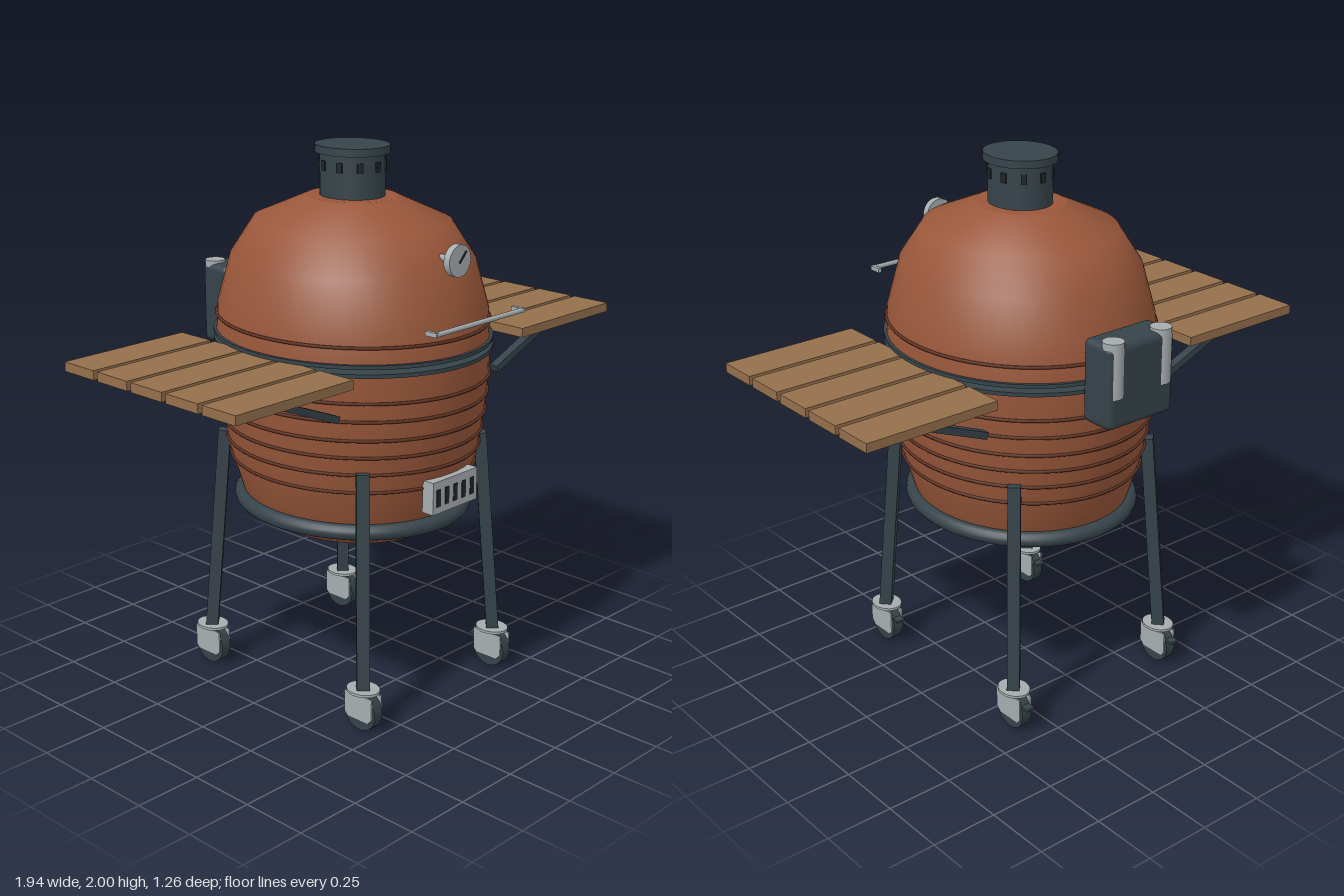
import * as THREE from 'three';
import { RoundedBoxGeometry } from 'three/addons/geometries/RoundedBoxGeometry.js';

const mat = (name, color) => Object.assign(new THREE.MeshStandardMaterial({ color }), { name });
const DEPTH = 1.11, ZC = 0.02; // the round body is slightly deeper than wide

export function createModel() {
  const model = new THREE.Group();
  model.name = 'ceramicGrill';
  const clay = mat('terracotta', 0x99573a);
  const ridgeMat = mat('dark terracotta', 0x5e3323);
  const slate = mat('dark slate metal', 0x36434a);
  const black = mat('black openings', 0x1e2528);
  const steel = mat('light steel', 0xa6acaf);
  const wood = mat('wood', 0x946f4b);

  const add = (parent, name, geo, material, x = 0, y = 0, z = 0) => {
    const m = new THREE.Mesh(geo, material);
    m.name = name;
    m.position.set(x, y, z);
    parent.add(m);
    return m;
  };
  const box = (w, h, d) => new THREE.BoxGeometry(w, h, d);
  const cyl = (r1, r2, h, n = 32) => new THREE.CylinderGeometry(r1, r2, h, n);
  const lathe = (pts) => new THREE.LatheGeometry(pts.map(([r, y]) => new THREE.Vector2(r, y)), 64);
  const hoop = (r, tube, n = 8) => new THREE.TorusGeometry(r, tube, n, 64).rotateX(Math.PI / 2);
  // Bar of rectangular section between two points, turned about its own axis
  const bar = (parent, name, a, b, w, d, twist, material) => {
    const A = new THREE.Vector3(...a), B = new THREE.Vector3(...b);
    const dir = B.clone().sub(A);
    const m = add(parent, name, box(w, dir.length(), d).rotateY(twist), material);
    m.position.copy(A).add(B).multiplyScalar(0.5);
    m.quaternion.setFromUnitVectors(new THREE.Vector3(0, 1, 0), dir.normalize());
    return m;
  };

  // Round body: base bowl, domed lid, bands, ridges, chimney
  const body = new THREE.Group();
  body.name = 'body';
  body.scale.z = DEPTH;
  body.position.z = ZC;
  model.add(body);
  const wall = [[0.29, 0.615], [0.345, 0.66], [0.385, 0.73], [0.43, 0.89], [0.455, 1.07], [0.466, 1.2], [0.467, 1.295]];
  const dome = [[0.467, 1.325], [0.461, 1.43], [0.415, 1.605], [0.335, 1.735], [0.155, 1.82]];
  add(body, 'baseBowl', lathe(wall), clay);
  add(body, 'baseFloor', lathe([[0, 0.615], [0.29, 0.615]]), clay);
  add(body, 'baseTop', lathe([[0.467, 1.295], [0, 1.295]]), slate);
  add(body, 'lidDome', lathe(dome), clay);
  add(body, 'lidCrown', lathe([[0.155, 1.82], [0, 1.82]]), clay);
  add(body, 'lidUnderside', lathe([[0, 1.325], [0.467, 1.325]]), slate);
  for (const y of [1.297, 1.328]) add(body, 'rimBand', cyl(0.477, 0.477, 0.014, 64), slate, 0, y);

  const radiusAt = (y) => {
    const p = [...wall, ...dome];
    const i = p.findIndex((q) => q[1] >= y);
    const t = (y - p[i - 1][1]) / (p[i][1] - p[i - 1][1]);
    return THREE.MathUtils.lerp(p[i - 1][0], p[i][0], t);
  };
  for (const y of [0.86, 0.93, 0.995, 1.06, 1.13, 1.197, 1.392]) {
    add(body, 'ridge', hoop(radiusAt(y) + 0.002, 0.006, 6), ridgeMat, 0, y);
  }
  add(body, 'standRing', hoop(0.386, 0.029, 14), slate, 0, 0.698);

  add(body, 'chimney', cyl(0.11, 0.11, 0.16, 40), slate, 0, 1.895);
  add(body, 'chimneyCap', cyl(0.126, 0.126, 0.028, 40), slate, 0, 1.986);
  for (let i = 0; i < 10; i++) {
    const a = (i / 10) * Math.PI * 2;
    const s = add(body, 'chimneySlot', box(0.02, 0.035, 0.008), black, Math.sin(a) * 0.11, 1.93, Math.cos(a) * 0.11);
    s.rotation.y = a;
  }

  // Legs with casters
  const forkShape = new THREE.Shape();
  [[-0.065, 0.14], [-0.065, 0.06], [-0.045, 0.04], [0.05, 0.04], [0.065, 0.055], [0.065, 0.14]]
    .forEach(([z, y], i) => (i ? forkShape.lineTo(z, y) : forkShape.moveTo(z, y)));
  const forkGeo = new THREE.ExtrudeGeometry(forkShape, { depth: 0.006, bevelEnabled: false })
    .translate(0, 0, -0.003).rotateY(Math.PI / 2);
  for (const sx of [1, -1]) {
    for (const [zt, zb] of [[0.37, 0.417], [-0.33, -0.377]]) {
      bar(model, 'leg', [sx * 0.315, 0.94, zt], [sx * 0.36, 0.155, zb], 0.046, 0.046, Math.PI / 4, slate);
      const caster = new THREE.Group();
      caster.name = 'caster';
      caster.position.set(sx * 0.358, 0, zb);
      model.add(caster);
      const plate = add(caster, 'casterPlate', cyl(0.054, 0.054, 0.01, 24), steel, 0, 0.152);
      plate.scale.z = 1.2;
      add(caster, 'casterWheel', cyl(0.074, 0.074, 0.04, 28).rotateZ(Math.PI / 2), slate, 0, 0.074);
      for (const s of [1, -1]) add(caster, 'casterFork', forkGeo, steel, s * 0.025);
      add(caster, 'brakeLever', box(0.035, 0.01, 0.05), slate, 0, 0.108, -0.07);
    }
  }

  // Slatted side shelves and their struts
  for (const sx of [1, -1]) {
    for (let i = 0; i < 5; i++) {
      add(model, 'shelfPlank', box(0.525, 0.034, 0.155), wood, sx * 0.708, 1.305, -0.327 + i * 0.175);
    }
    for (const z of [0.345, -0.302]) {
      bar(model, 'shelfStrut', [sx * 0.42, 1.155, z], [sx * 0.705, 1.272, z], 0.026, 0.034, 0, slate);
    }
  }

  // Rear hinge housing with two spring covers
  add(model, 'hingeHousing', new RoundedBoxGeometry(0.296, 0.305, 0.14, 3, 0.025), slate, 0, 1.345, -0.555);
  for (const sx of [1, -1]) add(model, 'springCover', cyl(0.038, 0.038, 0.2, 24), steel, sx * 0.108, 1.407, -0.594);

  // Lid handle
  add(model, 'handleBar', cyl(0.009, 0.009, 0.46, 12).rotateZ(Math.PI / 2), steel, 0, 1.462, 0.616);
  for (const sx of [1, -1]) add(model, 'handleEnd', box(0.014, 0.016, 0.05), steel, sx * 0.226, 1.462, 0.598);

  // Thermometer
  add(model, 'thermometerDial', cyl(0.056, 0.056, 0.026, 32).rotateX(Math.PI / 2), steel, 0, 1.658, 0.51);
  add(model, 'thermometerStem', cyl(0.012, 0.012, 0.08, 12).rotateX(Math.PI / 2), steel, 0, 1.658, 0.465);
  const needle = add(model, 'thermometerNeedle', box(0.006, 0.05, 0.004), black, 0.012, 1.67, 0.525);
  needle.rotation.z = -0.75;

  // Draft door with five slots
  add(model, 'draftDoor', box(0.236, 0.12, 0.05), steel, 0, 0.83, 0.497);
  for (let i = -2; i <= 2; i++) add(model, 'draftSlot', box(0.021, 0.064, 0.004), black, i * 0.045, 0.828, 0.522);

  return model;
}
